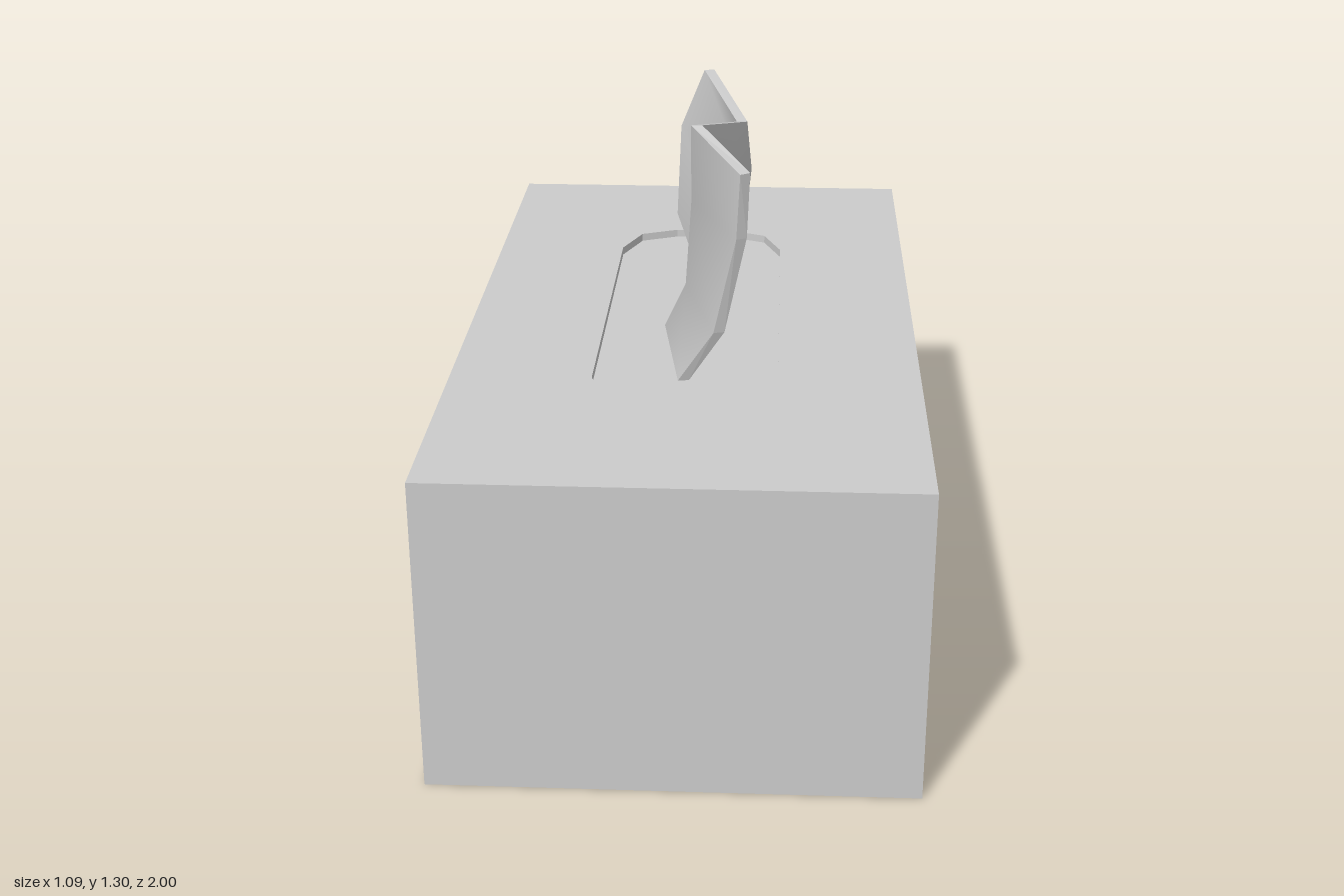
import * as THREE from 'three';

const HEIGHT = 0.74, RECESS = 0.02;
const HALF_X = 0.545, HALF_Z = 1;
const THICKNESS = 0.026;

const grey = () => new THREE.MeshStandardMaterial({ color: 0xcccccc });

function addMesh(parent, geometry, name) {
  const mesh = new THREE.Mesh(geometry, grey());
  mesh.name = name;
  parent.add(mesh);
  return mesh;
}

// Flat top panel with the elongated, chamfered opening cut out
function lidGeometry() {
  const panel = new THREE.Shape([
    [-HALF_X, -HALF_Z], [HALF_X, -HALF_Z], [HALF_X, HALF_Z], [-HALF_X, HALF_Z],
  ].map(([x, y]) => new THREE.Vector2(x, y)));
  const corner = [[0.215, 0.445], [0.17, 0.56], [0.075, 0.6]];
  const mirrored = [...corner].reverse();
  const outline = [
    ...corner,
    ...mirrored.map(([x, y]) => [-x, y]),
    ...corner.map(([x, y]) => [-x, -y]),
    ...mirrored.map(([x, y]) => [x, -y]),
  ];
  panel.holes.push(new THREE.Path(outline.map(([x, y]) => new THREE.Vector2(x, y))));
  return new THREE.ExtrudeGeometry(panel, { depth: RECESS, bevelEnabled: false })
    .rotateX(-Math.PI / 2)
    .translate(0, HEIGHT - RECESS, 0);
}

// Centre lines of the tissue folds, front to back; each runs from base to top edge
const base = HEIGHT - RECESS;
const folds = [
  [[-0.005, base, 0.405], [0.078, 0.85, 0.425], [0.128, 1.085, 0.445], [0.135, 1.24, 0.455]],
  [[-0.056, base, 0.065], [0.0, 0.86, 0.14], [0.018, 1.1, 0.22], [0.02, 1.3, 0.285]],
  [[0.053, base, -0.065], [0.102, 0.84, -0.08], [0.127, 1.08, -0.095], [0.115, 1.2, -0.1]],
  [[0.0, base, -0.405], [-0.052, 0.85, -0.425], [-0.042, 1.09, -0.443], [0.02, 1.24, -0.45]],
].map((fold) => fold.map((p) => new THREE.Vector3(...p)));
const COLS = folds.length, ROWS = folds[0].length;

// Point on one face of the tissue, offset sideways from the centre line
function tissuePoint(col, row, side) {
  const a = folds[Math.max(col - 1, 0)][row];
  const b = folds[Math.min(col + 1, COLS - 1)][row];
  const normal = new THREE.Vector3(a.z - b.z, 0, b.x - a.x).normalize();
  return folds[col][row].clone().addScaledVector(normal, side * THICKNESS / 2);
}

// Smooth face of the tissue on one side (+1 or -1)
function tissueFace(side) {
  const points = [], index = [];
  for (let r = 0; r < ROWS; r++)
    for (let c = 0; c < COLS; c++) points.push(tissuePoint(c, r, side));
  for (let r = 0; r < ROWS - 1; r++) {
    for (let c = 0; c < COLS - 1; c++) {
      const a = r * COLS + c, b = a + 1, d = a + COLS, e = d + 1;
      if (side > 0) index.push(a, b, e, a, e, d);
      else index.push(a, e, b, a, d, e);
    }
  }
  const geometry = new THREE.BufferGeometry().setFromPoints(points);
  geometry.setIndex(index);
  geometry.computeVertexNormals();
  return geometry;
}

// Narrow edge that joins the two faces all the way round
function tissueEdge() {
  const loop = [];
  for (let c = 0; c < COLS - 1; c++) loop.push([c, 0]);
  for (let r = 0; r < ROWS - 1; r++) loop.push([COLS - 1, r]);
  for (let c = COLS - 1; c > 0; c--) loop.push([c, ROWS - 1]);
  for (let r = ROWS - 1; r > 0; r--) loop.push([0, r]);
  const points = [];
  loop.forEach((p, i) => {
    const q = loop[(i + 1) % loop.length];
    const [p1, p2] = [tissuePoint(...p, 1), tissuePoint(...p, -1)];
    const [q1, q2] = [tissuePoint(...q, 1), tissuePoint(...q, -1)];
    points.push(q1, p1, p2, q1, p2, q2);
  });
  const geometry = new THREE.BufferGeometry().setFromPoints(points);
  geometry.computeVertexNormals();
  return geometry;
}

export function createModel() {
  const model = new THREE.Group();
  model.name = 'tissueBox';

  // Carton: solid body under the pierced top panel
  const body = new THREE.BoxGeometry(2 * HALF_X, base, 2 * HALF_Z).translate(0, base / 2, 0);
  addMesh(model, body, 'boxBody');
  addMesh(model, lidGeometry(), 'topPanel');

  // Folded tissue rising from the opening
  const tissue = new THREE.Group();
  tissue.name = 'tissue';
  addMesh(tissue, tissueFace(1), 'tissueLeftFace');
  addMesh(tissue, tissueFace(-1), 'tissueRightFace');
  addMesh(tissue, tissueEdge(), 'tissueEdge');
  model.add(tissue);

  return model;
}
